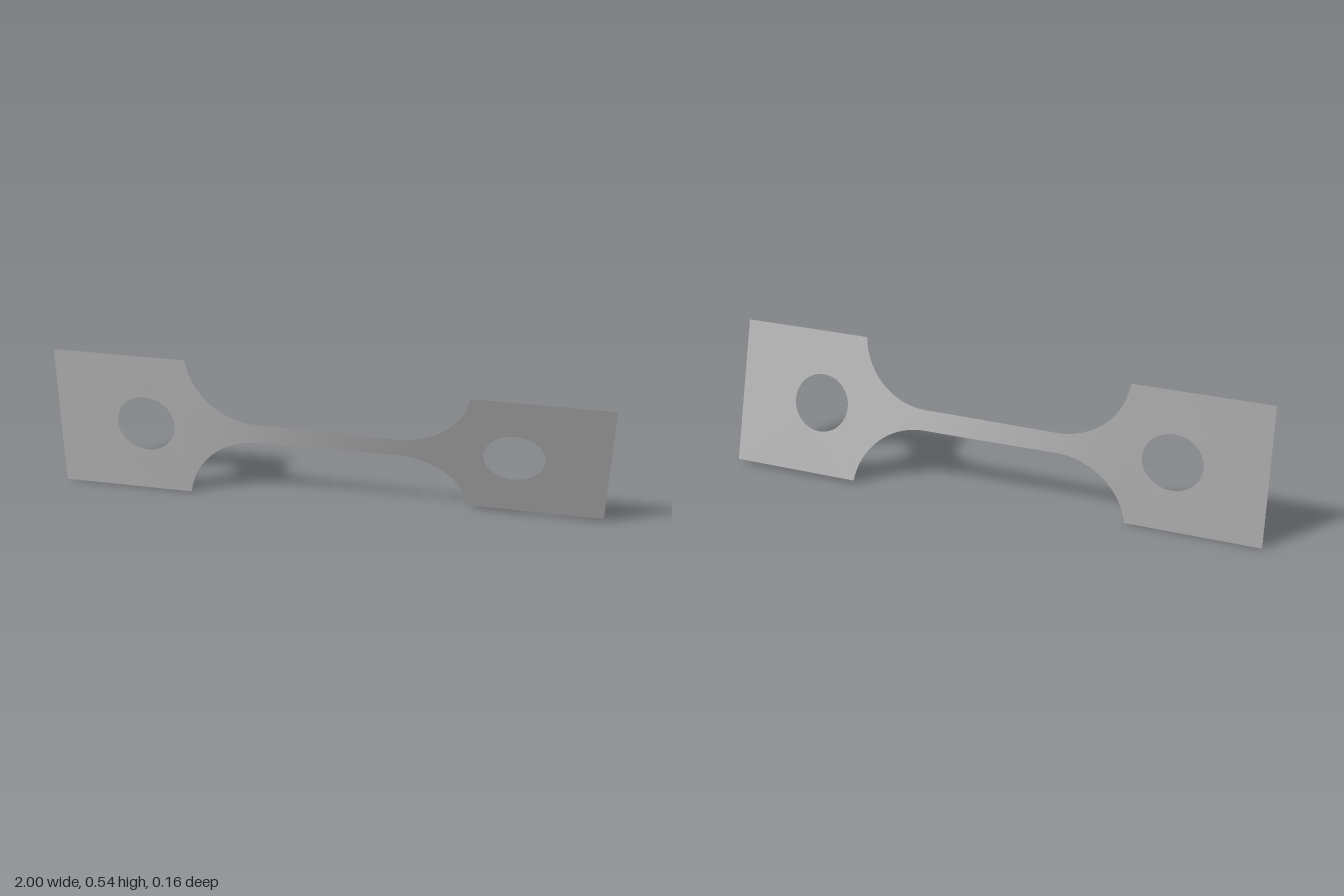
import * as THREE from 'three';

const HALF = 0.27;              // half height of the end plates
const TWIST = 17.7 * Math.PI / 180;
const FILLET = { x: 0.25, y: 0.3, r: 0.262 };
const JOIN = 0.54;              // where the end plates meet the neck

// Twist each vertex about the long axis, easing from the right end to the left
function twist(geometry) {
  const p = geometry.attributes.position;
  for (let i = 0; i < p.count; i++) {
    const x = p.getX(i), y = p.getY(i);
    const a = TWIST * THREE.MathUtils.smoothstep(x, -0.6, 0.42);
    p.setXYZ(i, x, HALF + y * Math.cos(a), y * Math.sin(a));
  }
  geometry.computeVertexNormals();
  return geometry;
}

// Square end plate with a round hole
function endPlate(side) {
  const shape = new THREE.Shape();
  const [x0, x1] = side < 0 ? [-1, -JOIN] : [JOIN, 1];
  shape.moveTo(x0, -HALF);
  shape.lineTo(x1, -HALF);
  shape.lineTo(x1, HALF);
  shape.lineTo(x0, HALF);
  shape.closePath();
  const hole = new THREE.Path();
  hole.absarc(side * 0.67, 0, 0.108, 0, Math.PI * 2, true);
  shape.holes.push(hole);
  return twist(new THREE.ShapeGeometry(shape, 32));
}

// Neck: a strip whose half height follows the fillets and the straight bar
function neck() {
  const right = [];
  const end = Math.acos((FILLET.y - HALF) / FILLET.r);
  for (let i = 1; i <= 8; i++) right.push([FILLET.x * i / 8, FILLET.y - FILLET.r]);
  for (let i = 1; i <= 28; i++) {
    const a = end * i / 28;
    right.push([FILLET.x + FILLET.r * Math.sin(a), FILLET.y - FILLET.r * Math.cos(a)]);
  }
  right.push([JOIN, HALF]);
  const left = right.map(([x, h]) => [-x, h]).reverse();
  const stations = [...left, [0, FILLET.y - FILLET.r], ...right];

  const columns = stations.length, rows = 8;
  const geometry = new THREE.PlaneGeometry(1, 1, columns - 1, rows);
  const p = geometry.attributes.position;
  for (let i = 0; i < p.count; i++) {
    const [x, h] = stations[i % columns];
    p.setXY(i, x, p.getY(i) * 2 * h);
  }
  return twist(geometry);
}

export function createModel() {
  const metal = new THREE.MeshStandardMaterial({ color: 0xb2b2b2, side: THREE.DoubleSide });
  metal.name = 'grey metal';
  const model = new THREE.Group();
  model.name = 'twistedTestStrip';
  const add = (name, geometry) => {
    const mesh = new THREE.Mesh(geometry, metal);
    mesh.name = name;
    model.add(mesh);
  };
  add('rightEndPlate', endPlate(-1));
  add('neck', neck());
  add('leftEndPlate', endPlate(1));
  return model;
}
